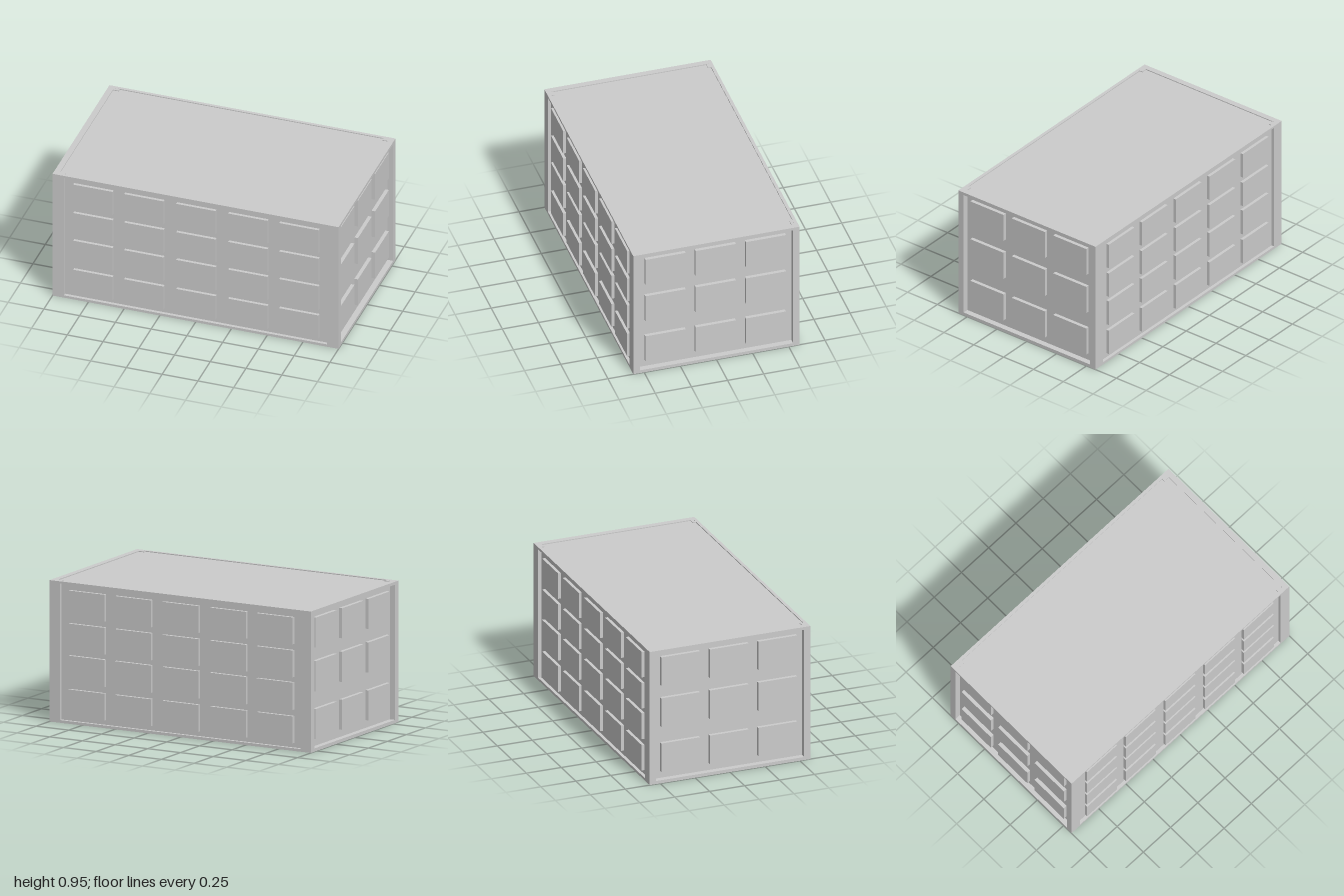
import * as THREE from 'three';

const W = 2, H = 0.955, D = 1.15;
const material = new THREE.MeshStandardMaterial({ color: 0xcccccc, flatShading: true });

// Box given by its lower and upper corners
function box(name, [x0, y0, z0], [x1, y1, z1]) {
  const mesh = new THREE.Mesh(new THREE.BoxGeometry(x1 - x0, y1 - y0, z1 - z0), material);
  mesh.name = name;
  mesh.position.set((x0 + x1) / 2, (y0 + y1) / 2, (z0 + z1) / 2);
  return mesh;
}

// A wall facing +z: rectangular frame plus a grid of raised panels
function wall(name, width, { face, floor, panelFace, innerX, bottom, top, columns, rows, panelWidth }) {
  const group = new THREE.Group();
  group.name = name;
  const shape = new THREE.Shape();
  shape.moveTo(-width / 2, 0).lineTo(width / 2, 0).lineTo(width / 2, H).lineTo(-width / 2, H).closePath();
  const hole = new THREE.Path();
  hole.moveTo(-innerX, bottom).lineTo(-innerX, top).lineTo(innerX, top).lineTo(innerX, bottom).closePath();
  shape.holes.push(hole);
  const frame = new THREE.Mesh(
    new THREE.ExtrudeGeometry(shape, { depth: face - floor, bevelEnabled: false }), material);
  frame.name = name + 'Frame';
  frame.position.z = floor;
  group.add(frame);
  for (const x of columns) {
    for (const [y0, y1] of rows) {
      group.add(box('raisedPanel',
        [x - panelWidth / 2, y0, floor - 0.005], [x + panelWidth / 2, y1, panelFace]));
    }
  }
  return group;
}

export function createModel() {
  const model = new THREE.Group();
  model.name = 'container';

  // Closed inner body, its roof a hair below the frame rim
  model.add(box('body', [-0.96, 0.003, -0.553], [0.96, H - 0.006, 0.553]));

  const longWall = {
    face: D / 2, floor: 0.553, panelFace: 0.574, innerX: 0.92, bottom: 0.018, top: 0.94,
    columns: [-0.718, -0.362, 0.002, 0.365, 0.722], panelWidth: 0.276,
    rows: [[0.05, 0.232], [0.275, 0.46], [0.495, 0.677], [0.718, 0.9]],
  };
  const endWall = {
    face: W / 2, floor: 0.96, panelFace: 0.985, innerX: 0.53, bottom: 0.022, top: 0.935,
    columns: [-0.347, 0, 0.347], panelWidth: 0.278,
    rows: [[0.075, 0.278], [0.398, 0.602], [0.693, 0.896]],
  };

  // Front and back, then the two ends
  for (const [i, side] of ['front', 'back'].entries()) {
    const w = wall(side + 'Wall', W, longWall);
    w.rotation.y = i * Math.PI;
    model.add(w);
  }
  for (const [i, side] of ['left', 'right'].entries()) {
    const w = wall(side + 'Wall', 2 * 0.553, endWall);
    w.rotation.y = (i ? -1 : 1) * Math.PI / 2;
    model.add(w);
  }

  // Small roof corner plates closing the rim
  for (const sx of [-1, 1]) {
    for (const sz of [-1, 1]) {
      const plate = box('cornerPlate', [-0.025, -0.005, -0.012], [0.025, 0.005, 0.012]);
      plate.position.set(sx * 0.945, H - 0.0055, sz * 0.543);
      model.add(plate);
    }
  }
  return model;
}
